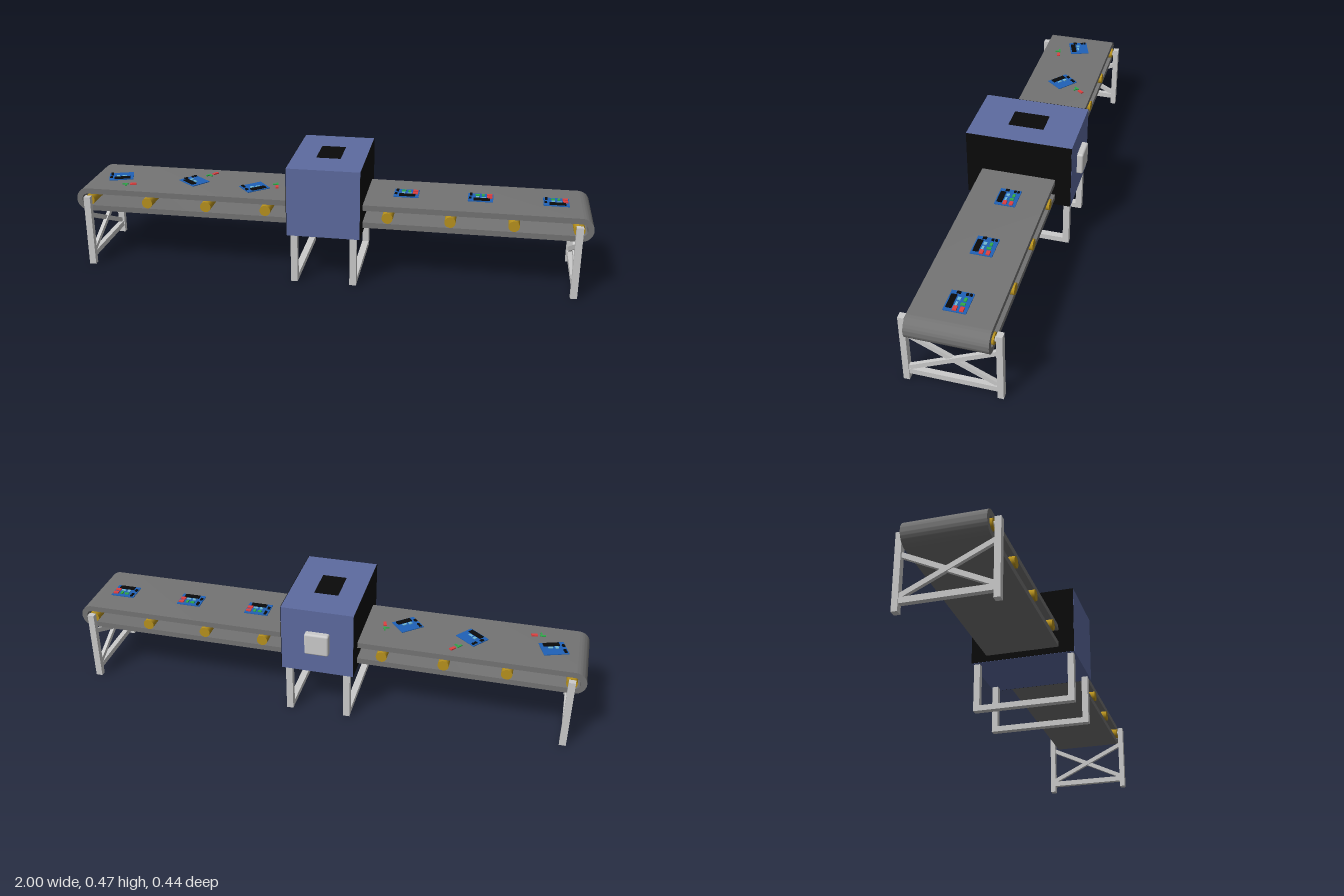
import * as THREE from 'three';
import { toCreasedNormals } from 'three/addons/utils/BufferGeometryUtils.js';
import { RoundedBoxGeometry } from 'three/addons/geometries/RoundedBoxGeometry.js';

const mat = (color) => new THREE.MeshStandardMaterial({ color });
const M = {
  grey: mat(0xcccccc), belt: mat(0x747474), brass: mat(0xb8921e), housing: mat(0x5d6ba0),
  black: mat(0x0a0a0a), board: mat(0x1f62b8), red: mat(0xe04040), green: mat(0x2faa4a), cyan: mat(0x6fb8d8),
};
const MID = 0.0125;      // centre line of the conveyor in z
const AXLE = 0.266;      // height of the roller axes
const BELT_TOP = 0.312;

function add(parent, name, geometry, material, x = 0, y = 0, z = 0) {
  const mesh = new THREE.Mesh(geometry, material);
  mesh.name = name;
  mesh.position.set(x, y, z);
  parent.add(mesh);
  return mesh;
}

// Box given by its size and centre
const box = (parent, name, material, size, pos) =>
  add(parent, name, new THREE.BoxGeometry(...size), material, ...pos);

function group(parent, name, x = 0, y = 0, z = 0) {
  const g = new THREE.Group();
  g.name = name;
  g.position.set(x, y, z);
  parent.add(g);
  return g;
}

// Outline with half-round ends
function stadium(path, r, cx) {
  path.moveTo(-cx, -r);
  path.lineTo(cx, -r);
  path.absarc(cx, 0, r, -Math.PI / 2, Math.PI / 2, false);
  path.lineTo(-cx, r);
  path.absarc(-cx, 0, r, Math.PI / 2, Math.PI * 1.5, false);
  return path;
}

// Lying cylinder along z
function zCylinder(parent, name, material, r, length, x) {
  const geo = new THREE.CylinderGeometry(r, r, length, 24).rotateX(Math.PI / 2);
  return add(parent, name, geo, material, x, AXLE, MID);
}

// End frame: two posts, a rail and crossed braces
function endFrame(parent, x) {
  const f = group(parent, 'endFrame', x, 0, MID);
  for (const s of [-1, 1]) {
    box(f, 'post', M.grey, [0.026, 0.287, 0.022], [0, 0.1435, s * 0.166]);
    const brace = box(f, 'crossBrace', M.grey, [0.014, 0.018, 0.35], [s * 0.002, 0.13, 0]);
    brace.rotation.x = s * Math.atan2(0.15, 0.31);
  }
  box(f, 'lowerRail', M.grey, [0.02, 0.022, 0.31], [0, 0.039, 0]);
}

// U-shaped support under the housing
function housingFrame(parent, x) {
  const f = group(parent, 'housingFrame', x, 0, MID);
  for (const s of [-1, 1]) box(f, 'post', M.grey, [0.026, 0.197, 0.024], [0, 0.0985, s * 0.187]);
  box(f, 'footRail', M.grey, [0.026, 0.022, 0.35], [0, 0.011, 0]);
}

// Small loose component: a red block with a green partner
function looseParts(parent, x, z, angle) {
  const g = group(parent, 'looseComponents', x, BELT_TOP, z);
  g.rotation.y = angle;
  box(g, 'redComponent', M.red, [0.024, 0.005, 0.012], [0.016, 0.0025, 0]);
  box(g, 'greenComponent', M.green, [0.022, 0.004, 0.007], [-0.016, 0.002, -0.004]);
  box(g, 'greenPin', M.green, [0.006, 0.004, 0.018], [-0.012, 0.002, 0.006]);
}

// Circuit board; a finished one also carries the red and green components
function circuitBoard(parent, x, z, angle, finished) {
  const g = group(parent, 'circuitBoard', x, BELT_TOP, z);
  g.rotation.y = angle;
  box(g, 'boardPlate', M.board, [0.096, 0.003, 0.08], [0, 0.0015, 0]);
  const part = (name, m, w, d, px, pz, h = 0.004) =>
    box(g, name, m, [w, h, d], [px, 0.003 + h / 2, pz]);
  part('mainChip', M.black, 0.062, 0.02, 0.004, 0.024);
  part('sideChip', M.black, 0.01, 0.014, -0.04, 0.012);
  for (const pz of [-0.031, -0.018]) part('cornerChip', M.black, 0.01, 0.009, -0.037, pz);
  part('connector', M.cyan, 0.012, 0.012, -0.012, 0.002);
  part('connector', M.cyan, 0.018, 0.008, 0.012, 0.004, 0.003);
  if (!finished) return;
  for (const pz of [-0.022, 0.002]) part('redComponent', M.red, 0.02, 0.014, 0.034, pz, 0.005);
  part('greenComponent', M.green, 0.016, 0.01, -0.012, -0.02);
  part('greenComponent', M.green, 0.01, 0.016, 0.01, -0.018);
}

export function createModel() {
  const model = new THREE.Group();
  model.name = 'conveyorInspectionLine';

  // Endless belt
  const outline = stadium(new THREE.Shape(), 0.046, 0.954);
  outline.holes.push(stadium(new THREE.Path(), 0.024, 0.954));
  const beltGeo = new THREE.ExtrudeGeometry(outline, { depth: 0.289, bevelEnabled: false, curveSegments: 20 });
  add(model, 'belt', toCreasedNormals(beltGeo.translate(0, 0, -0.1445), 0.6), M.belt, 0, AXLE, MID);

  // Rollers and end axles
  for (let i = -4; i <= 4; i++) zCylinder(model, 'roller', M.brass, 0.021, 0.3, i * 0.2365);
  for (const s of [-1, 1]) {
    zCylinder(model, 'axle', M.grey, 0.01, 0.35, s * 0.946);
    endFrame(model, s * 0.946);
    housingFrame(model, s * 0.114);
  }

  // Housing with dark curtains at both ends and a dark window on top
  const h = group(model, 'housing', 0, 0.33, MID);
  box(h, 'housingShell', M.housing, [0.28, 0.27, 0.411], [0, 0, 0]);
  for (const s of [-1, 1]) box(h, 'endCurtain', M.black, [0.003, 0.269, 0.41], [s * 0.1405, 0, 0]);
  box(h, 'topWindow', M.black, [0.094, 0.003, 0.138], [-0.002, 0.135, -0.003]);
  add(h, 'controlBox', new RoundedBoxGeometry(0.094, 0.09, 0.034, 3, 0.008), M.grey, -0.002, 0, -0.2125);

  // Boards: finished on the left half, unfinished with loose parts on the other
  for (const x of [0.295, 0.58, 0.865]) circuitBoard(model, x, 0.01, 0, true);
  for (const [x, z, a] of [[-0.867, 0.008, 0.33], [-0.56, 0.01, -0.68], [-0.305, 0.04, 0.7]])
    circuitBoard(model, x, z, a, false);
  for (const [x, z, a] of [[-0.805, 0.088, 0.2], [-0.508, -0.072, 0.9], [-0.222, 0.008, -1.3]])
    looseParts(model, x, z, a);

  return model;
}
